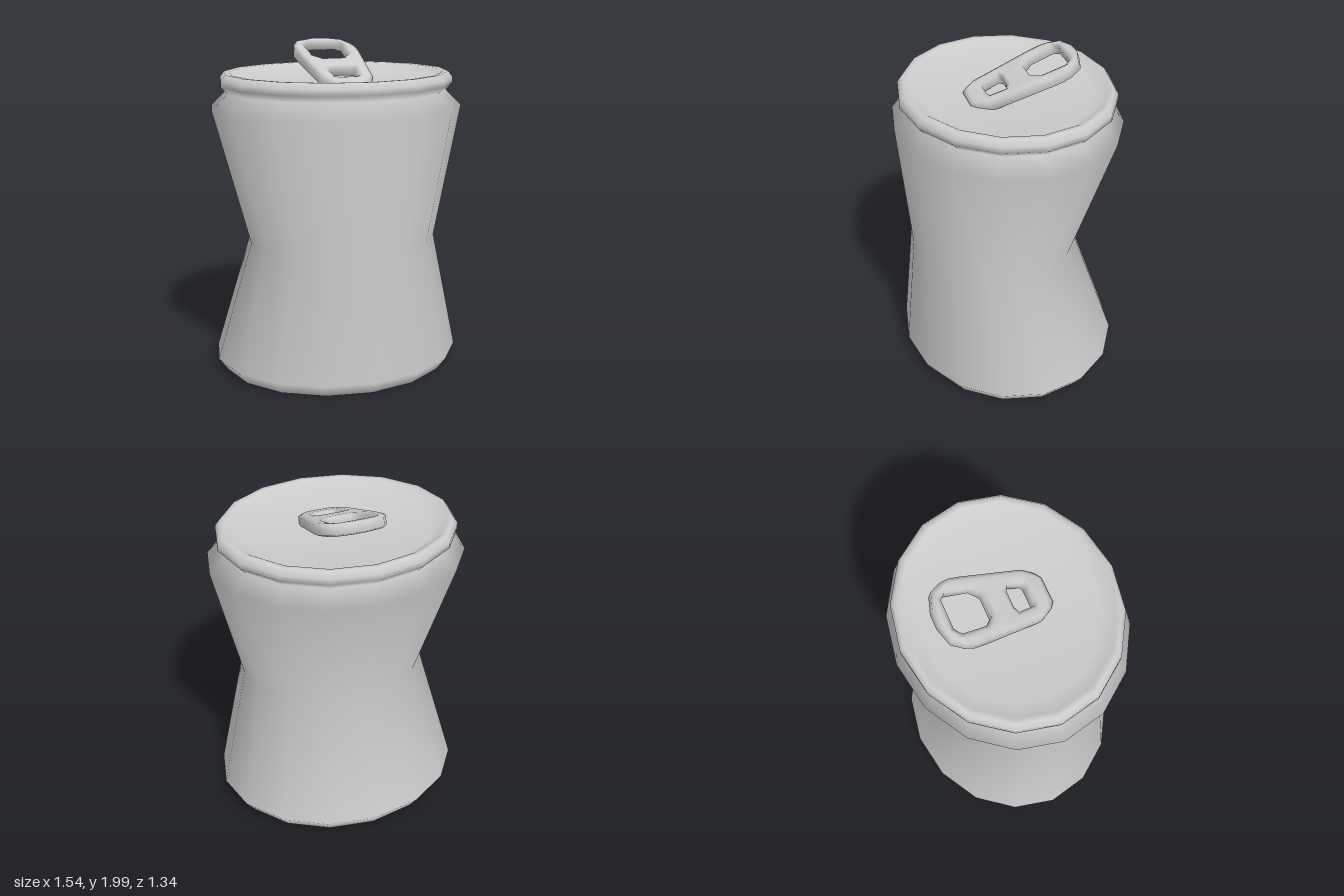
import * as THREE from 'three';
import { mergeVertices } from 'three/addons/utils/BufferGeometryUtils.js';

const material = new THREE.MeshStandardMaterial({ color: 0xcccccc });

// Weld all corners and give the surface smooth normals
function smooth(geometry) {
  geometry.deleteAttribute('normal');
  geometry.deleteAttribute('uv');
  const welded = mergeVertices(geometry, 1e-4);
  welded.computeVertexNormals();
  return welded;
}

// Can shell: 16-sided oval lathe with hollow base, crushed waist, rim and sunken lid
function makeCan() {
  const waistY = 0.83;
  const profile = [
    [0, 0.1], [0.6, 0.06], [0.69, 0], [0.71, 0], [0.77, 0.08], [0.575, waistY],
    [0.77, 1.62], [0.672, 1.715], [0.712, 1.755], [0.712, 1.79], [0.685, 1.825],
    [0.65, 1.822], [0.56, 1.77], [0, 1.75],
  ].map(([r, y]) => new THREE.Vector2(r, y));
  const geometry = new THREE.LatheGeometry(profile, 16);
  const p = geometry.attributes.position;
  for (let i = 0; i < p.count; i++) {
    // The rim is a little rounder than the body; the dent pushes the waist forward
    const y = p.getY(i);
    const flatten = y > 1.65 ? 0.888 : 0.872;
    const dent = Math.abs(y - waistY) < 1e-3 ? 0.0975 : 0;
    p.setZ(i, p.getZ(i) * flatten + dent);
  }
  const can = new THREE.Mesh(smooth(geometry), material);
  can.name = 'canBody';
  return can;
}

// Mirror a half outline of [halfWidth, z] into a closed counterclockwise loop on the tilted plane
function loop(half, tilt) {
  const at = (x, z) => new THREE.Vector2(x, -z / Math.cos(tilt));
  return [
    ...half.map(([x, z]) => at(-x, z)),
    ...half.slice().reverse().map(([x, z]) => at(x, z)),
  ];
}

// Pull tab: softened ring plate with two openings, lifted at the back and sunk into the lid at the front
function makeTab() {
  const tilt = 0.333;
  const shape = new THREE.Shape(loop([
    [0.045, -0.41], [0.15, -0.378], [0.19, -0.315], [0.203, -0.265], [0.2, -0.2],
    [0.155, 0.15], [0.115, 0.21], [0.08, 0.238],
  ], tilt));
  const fingerHole = [
    [0.09, -0.345], [0.127, -0.312], [0.118, -0.17], [0.067, -0.12],
  ];
  const rivetHole = [[0.05, 0.014], [0.088, 0.03], [0.075, 0.12], [0.05, 0.131]];
  for (const hole of [fingerHole, rivetHole]) shape.holes.push(new THREE.Path(loop(hole, tilt)));

  const depth = 0.052;
  const geometry = new THREE.ExtrudeGeometry(shape, {
    depth, bevelThickness: 0.01, bevelSize: 0.024, bevelOffset: -0.024, bevelSegments: 1,
  });
  geometry.translate(0, 0, -depth / 2);
  geometry.rotateX(-Math.PI / 2 + tilt);
  const tab = new THREE.Mesh(smooth(geometry), material);
  tab.name = 'pullTab';
  tab.position.set(0.022, 1.825, 0);
  return tab;
}

export function createModel() {
  const model = new THREE.Group();
  model.name = 'crushedCan';
  model.add(makeCan(), makeTab());
  return model;
}
